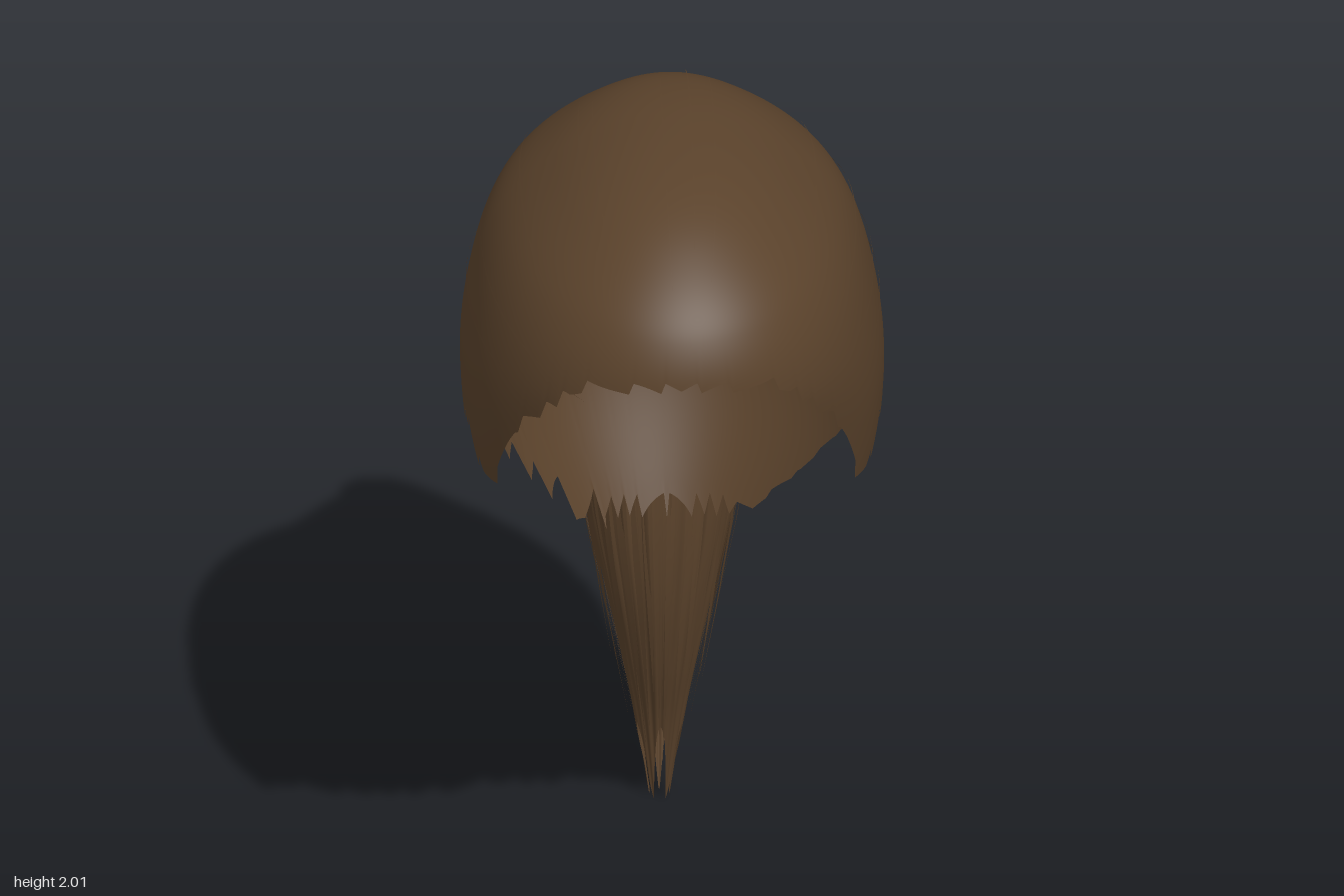
import * as THREE from 'three';
import { mergeVertices, mergeGeometries } from 'three/addons/utils/BufferGeometryUtils.js';

const V = (x, y, z) => new THREE.Vector3(x, y, z);
const { smoothstep, clamp } = THREE.MathUtils;

// Grid surface from fn(u, v) -> Vector3, smooth across its seam
function loft(fn, cols, rows) {
  const pos = [], idx = [];
  for (let j = 0; j <= rows; j++)
    for (let i = 0; i <= cols; i++) pos.push(...fn(i / cols, j / rows).toArray());
  for (let j = 0; j < rows; j++)
    for (let i = 0; i < cols; i++) {
      const a = j * (cols + 1) + i, c = a + cols + 1;
      idx.push(a, c, a + 1, a + 1, c, c + 1);
    }
  let g = new THREE.BufferGeometry();
  g.setAttribute('position', new THREE.Float32BufferAttribute(pos, 3));
  g.setIndex(idx);
  g = mergeVertices(g, 1e-5);
  g.computeVertexNormals();
  return g;
}

function seeded(seed) {
  return () => (seed = (seed * 16807) % 2147483647) / 2147483647;
}

// Cap slices at equal steps of sqrt(2 - y): front z, back z, half width
const ZC = 0.2, QMAX = 1.05;
const capSlices = new THREE.CatmullRomCurve3([
  V(0.2, 0.2, 0), V(0.45, 0.02, 0.12), V(0.62, -0.1, 0.235), V(0.74, -0.22, 0.34),
  V(0.775, -0.28, 0.395), V(0.7, -0.28, 0.415), V(0.62, -0.235, 0.375), V(0.55, -0.09, 0.23),
], false, 'catmullrom', 0.5);

// Point of the cap at an angle from the front, drawn back into the neck of the tail
function capPoint(theta, y) {
  const s = capSlices.getPoint(clamp(Math.sqrt(Math.max(0, 2 - y)) / QMAX, 0, 1));
  const c = Math.cos(theta);
  const reach = c > 0 ? (s.x - ZC) * Math.pow(c, 0.84) : -(ZC - s.y) * Math.pow(-c, 0.93);
  const p = V(s.z * Math.sin(theta), y, ZC + reach);
  if (c < 0) p.z -= 0.12 * (1 - smoothstep(Math.hypot(p.x, y - 1.67), 0.04, 0.2));
  return p;
}

// Hairline: angle from the front against height
const HEM = [[0, 1.72], [0.5, 1.69], [0.7, 1.61], [0.88, 1.5], [1.03, 1.34], [1.2, 1.3], [1.38, 1.38],
  [1.6, 1.35], [1.73, 1.25], [2, 1.15], [2.16, 1.05], [2.43, 0.95], [3.1416, 0.92]];
function hemY(theta) {
  const a = Math.abs(theta);
  let i = 1;
  while (i < HEM.length - 1 && a > HEM[i][0]) i++;
  const [a0, y0] = HEM[i - 1], [a1, y1] = HEM[i];
  return y0 + (y1 - y0) * Math.min(1, (a - a0) / (a1 - a0));
}

// Ragged teeth, strong on the right side and nearly smooth on the left nape
function hemTooth(theta) {
  const a = Math.abs(theta);
  const size = a < 0.6 ? 0.025 : a < 1.6 ? 0.045 : a > 2.6 ? 0.05 : theta > 0 ? 0.012 : 0.085;
  return ((a * 6.7 + 0.4 * Math.sin(a * 9) + 7) % 1 - 0.5) * size;
}

// Ponytail rings: outer point (y, z), inner point (y, z), half width
const RINGS = [
  [1.785, -0.25, 1.57, -0.29, 0.105], [1.762, -0.31, 1.6, -0.33, 0.08],
  [1.725, -0.39, 1.6, -0.36, 0.072], [1.7, -0.44, 1.55, -0.37, 0.085], [1.6, -0.5, 1.45, -0.37, 0.1],
  [1.4, -0.59, 1.3, -0.37, 0.13], [1.2, -0.68, 1.15, -0.36, 0.155], [0.95, -0.755, 0.9, -0.345, 0.17],
  [0.75, -0.74, 0.72, -0.34, 0.15], [0.55, -0.7, 0.55, -0.36, 0.115], [0.37, -0.66, 0.37, -0.41, 0.08],
  [0.2, -0.61, 0.2, -0.47, 0.05], [0, -0.56, 0, -0.52, 0.02],
];
const spline = (pts) => new THREE.CatmullRomCurve3(pts, false, 'catmullrom', 0.5);
const outer = spline(RINGS.map((r) => V(r[4], r[0], r[1])));
const inner = spline(RINGS.map((r) => V(r[4], r[2], r[3])));
function tailPoint(s, t, k) {
  const o = outer.getPoint(s), n = inner.getPoint(s), c = Math.cos(t) * k;
  return V(-o.x * Math.sin(t) * k,
    (o.y + n.y) / 2 + (o.y - n.y) / 2 * c, (o.z + n.z) / 2 + (o.z - n.z) / 2 * c);
}

// Thin ribbon lying on the ponytail, tapered to both ends
const tailRibbon = (t, s0, s1, width, lift, flare) => loft((u, v) => {
  const taper = width * Math.sin(Math.PI * Math.min(0.97, 0.15 + v * 0.85));
  return tailPoint(s0 + (s1 - s0) * v, t + (u - 0.5) * taper, lift + flare * v * v);
}, 1, 16);

export function createModel() {
  const group = new THREE.Group();
  const brown = new THREE.MeshStandardMaterial({ color: 0x5a422b, side: THREE.DoubleSide });
  brown.name = 'brown hair';
  const add = (name, geometry) => {
    const mesh = new THREE.Mesh(geometry, brown);
    mesh.name = name;
    group.add(mesh);
  };

  // Swept-back cap with a ragged hairline, seam at the nape
  add('hairCap', loft((u, v) => {
    const theta = (u * 2 - 1) * Math.PI;
    const y = 2 - (2 - hemY(theta)) * Math.pow(v, 1.9) + hemTooth(theta) * Math.pow(v, 14);
    return capPoint(theta, Math.max(0.9, y));
  }, 300, 64));

  // Gathered neck flowing into the fluted ponytail, ending in a few points
  add('ponytail', loft((u, v) => {
    const t = u * Math.PI * 2;
    const ridge = 0.035 * smoothstep(v, 0.2, 0.5);
    const s = v * (0.96 + 0.04 * Math.cos(t * 5));
    return tailPoint(s, t, 1 + ridge * Math.cos(t * 19));
  }, 152, 70));

  // Loose locks that fray the end of the ponytail
  const rand = seeded(77);
  const locks = [], strands = [];
  for (let i = 0; i < 44; i++) {
    const t = (i / 44) * Math.PI * 2 + rand() * 0.1;
    locks.push(tailRibbon(t, 0.5 + rand() * 0.15, 0.84 + rand() * 0.12, 0.11, 1.0, 0.1 + rand() * 0.25));
  }
  add('looseLocks', mergeGeometries(locks));

  // Fine strands along the tail, starting lower on its outer face
  for (let i = 0; i < 56; i++) {
    const t = (i / 56) * Math.PI * 2 + rand() * 0.08;
    const start = (Math.cos(t) > 0.6 ? 0.48 : 0.26) + rand() * 0.15;
    strands.push(tailRibbon(t, start, 0.78 + rand() * 0.13, 0.05, 1.037, 0.04 + rand() * 0.16));
  }
  add('tailStrands', mergeGeometries(strands));

  // Fine strands combed back over the cap, just above its surface
  const combed = [];
  for (const a of [-1.45, -1.2, -0.85, -0.5, -0.42, -0.05, 0.1, 0.22, 0.8, 1.1, 1.35, 1.5]) {
    const start = 0.1 + rand() * 0.25, end = start + 0.35;
    combed.push(loft((u, v) => {
      // arc from brow to crown back at a constant sideways lean
      const f = Math.PI * (start + (end - start) * v);
      const lean = a + (u - 0.5) * 0.012 * Math.sin(Math.PI * (0.03 + 0.94 * v));
      const dir = V(Math.sin(lean) * Math.sin(f), Math.cos(lean) * Math.sin(f), Math.cos(f));
      const theta = Math.atan2(dir.x, dir.z);
      const p = capPoint(theta, 2 - 0.42 * (1 - Math.max(0, dir.y)));
      return p.add(dir.multiplyScalar(0.006));
    }, 1, 18));
  }
  add('capStrands', mergeGeometries(combed));

  return group;
}
